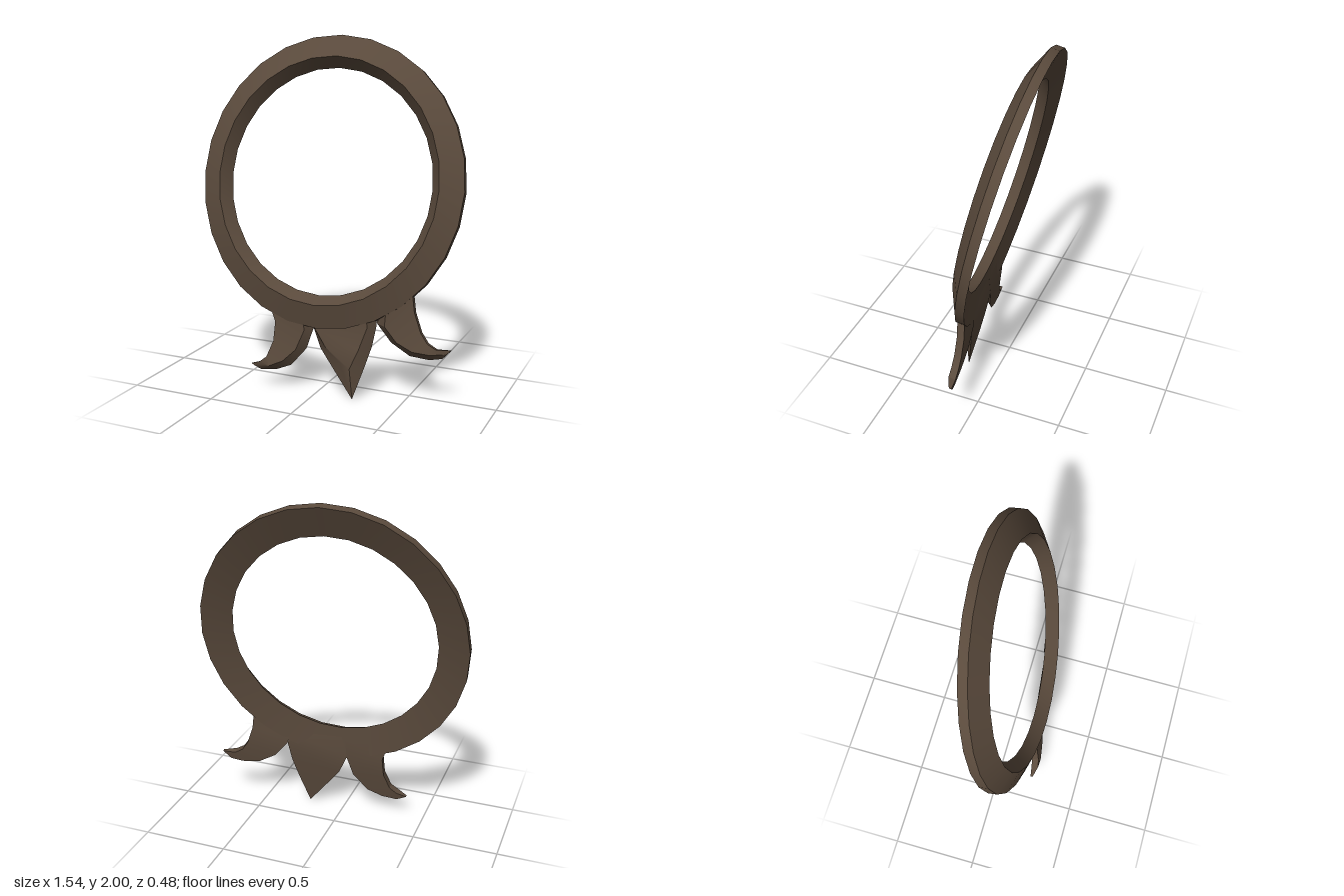
import * as THREE from 'three';
import { toCreasedNormals } from 'three/addons/utils/BufferGeometryUtils.js';

// Leaning base plane of the whole piece: z = CZ + A*x + B*(y - CY)
const CY = 1.185, CZ = -0.044, A = -0.087, B = -0.229;
const normal = new THREE.Vector3(-A, -B, 1).normalize();

// Point above (x, y) on the base plane, raised by h along its normal
function onPlane([x, y, h]) {
  return new THREE.Vector3(x, y, CZ + A * x + B * (y - CY)).addScaledVector(normal, h);
}

// Skin a series of closed cross-sections
function loft(rows, { closed = false, flip = false } = {}) {
  const sections = rows.map((row) => row.map(onPlane));
  const pos = [];
  const tri = (a, b, c) => (flip ? [a, c, b] : [a, b, c]).forEach((p) => pos.push(p.x, p.y, p.z));
  const n = sections[0].length;
  const count = closed ? sections.length : sections.length - 1;
  for (let i = 0; i < count; i++) {
    const r = sections[i], s = sections[(i + 1) % sections.length];
    for (let j = 0; j < n; j++) {
      const k = (j + 1) % n;
      tri(r[j], s[j], s[k]);
      tri(r[j], s[k], r[k]);
    }
  }
  if (!closed) {
    const e = sections[sections.length - 1];
    tri(e[0], e[2], e[1]);
    tri(e[0], e[3], e[2]);
  }
  const geometry = new THREE.BufferGeometry();
  geometry.setAttribute('position', new THREE.Float32BufferAttribute(pos, 3));
  return toCreasedNormals(geometry, 0.5);
}

// Oval frame with a raised inner ridge and a slightly dished back
function ringGeometry(segments = 28) {
  const profile = [[0.768, 0.807, 0], [0.768, 0.807, 0.052], [0.643, 0.678, 0.117], [0.592, 0.626, 0.045]];
  const rows = [];
  for (let i = 0; i < segments; i++) {
    const t = Math.PI / 2 + (i / segments) * Math.PI * 2;
    rows.push(profile.map(([rx, ry, h]) => {
      const x = rx * Math.cos(t);
      return [x, CY + ry * Math.sin(t) - 0.025 * x, h];
    }));
  }
  return loft(rows, { closed: true });
}

// Curled leaf: each row is back height, concave edge, ridge and convex edge, from base to tip
function curledLeaf(rows, flip) {
  const sections = rows.map(([h, ax, ay, rx, ry, bx, by], i) => {
    const thick = i === rows.length - 1 ? 0.015 : 0.042;
    return [[ax, ay, h], [ax, ay, h + thick], [rx, ry, h + thick + 0.003], [bx, by, h]];
  });
  return loft(sections, { flip });
}

export function createModel() {
  const group = new THREE.Group();
  const bronze = new THREE.MeshStandardMaterial({ color: 0x5a4a3c, side: THREE.DoubleSide });
  bronze.name = 'darkBronze';

  const add = (name, geometry) => {
    const mesh = new THREE.Mesh(geometry, bronze);
    mesh.name = name;
    group.add(mesh);
  };

  add('ring', ringGeometry());

  add('rightLeaf', curledLeaf([
    [0.025, -0.30, 0.52, -0.10, 0.52, -0.02, 0.49],
    [-0.005, -0.25, 0.39, -0.07, 0.36, -0.03, 0.375],
    [-0.015, -0.255, 0.28, -0.115, 0.245, -0.065, 0.255],
    [-0.02, -0.29, 0.188, -0.19, 0.173, -0.15, 0.153],
    [-0.022, -0.33, 0.156, -0.27, 0.138, -0.24, 0.117],
    [-0.022, -0.39, 0.137, -0.365, 0.125, -0.33, 0.107],
  ], false));

  add('leftLeaf', curledLeaf([
    [0.02, 0.53, 0.65, 0.40, 0.56, 0.32, 0.50],
    [-0.01, 0.55, 0.515, 0.39, 0.425, 0.335, 0.435],
    [-0.028, 0.59, 0.41, 0.46, 0.345, 0.42, 0.338],
    [-0.036, 0.63, 0.355, 0.55, 0.303, 0.53, 0.276],
    [-0.042, 0.68, 0.328, 0.65, 0.296, 0.64, 0.266],
    [-0.045, 0.757, 0.33, 0.735, 0.308, 0.71, 0.28],
  ], true));

  // Pointed leaf: left edge, two ridges and right edge, from base to tip
  add('middleLeaf', loft([
    [[0.0, 0.50, 0.03], [0.05, 0.50, 0.07], [0.28, 0.52, 0.07], [0.33, 0.50, 0.02]],
    [[-0.03, 0.375, -0.005], [-0.01, 0.375, 0.035], [0.295, 0.41, 0.04], [0.335, 0.42, -0.005]],
    [[0.02, 0.265, -0.013], [0.06, 0.28, 0.03], [0.255, 0.285, 0.035], [0.317, 0.305, -0.013]],
    [[0.10, 0.163, -0.02], [0.15, 0.207, 0.024], [0.21, 0.175, 0.028], [0.282, 0.185, -0.02]],
    [[0.226, 0.006, -0.026], [0.226, 0.006, -0.026], [0.226, 0.006, -0.026], [0.226, 0.006, -0.026]],
  ]));

  return group;
}
